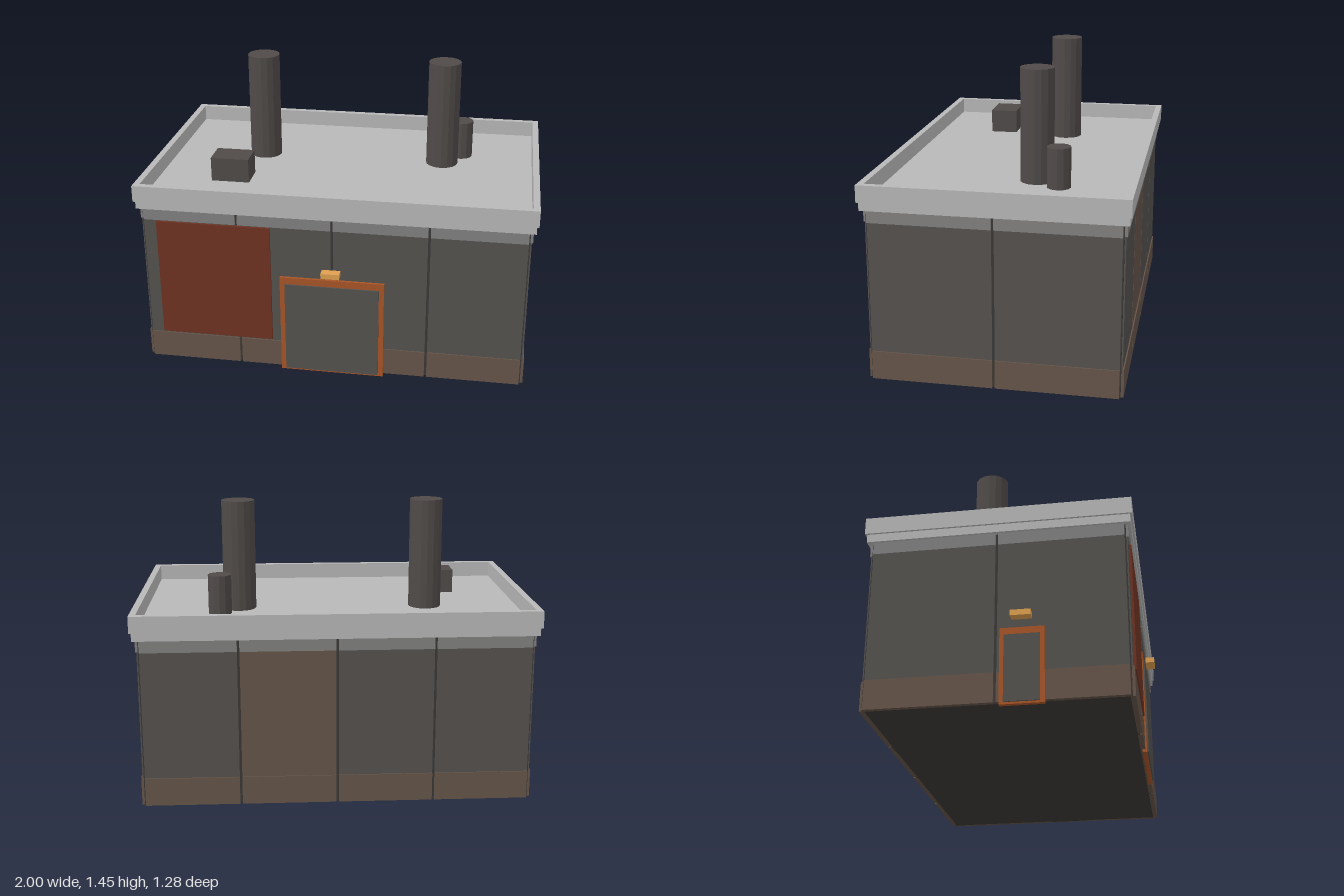
import * as THREE from 'three';

const mat = (color) => new THREE.MeshStandardMaterial({ color, flatShading: true });
const M = {
  wall: mat(0x55524f), joint: mat(0x3a3836), skirt: mat(0x665549), trim: mat(0x828180),
  roof: mat(0xb8b8b8), red: mat(0x6e3323), orange: mat(0xa85526), lamp: mat(0xe0a050), pipe: mat(0x504b49),
};

// Box given by its limits along each axis
function box(name, material, x0, x1, y0, y1, z0, z1) {
  const mesh = new THREE.Mesh(new THREE.BoxGeometry(x1 - x0, y1 - y0, z1 - z0), material);
  mesh.position.set((x0 + x1) / 2, (y0 + y1) / 2, (z0 + z1) / 2);
  mesh.name = name;
  return mesh;
}

// Row of wall panels separated by narrow gaps; local z = 0 is the core face
function wallSide(name, width, count, brownIndex = -1) {
  const g = new THREE.Group();
  g.name = name;
  const pitch = width / count;
  for (let i = 0; i < count; i++) {
    const a = -width / 2 + i * pitch + 0.006, b = a + pitch - 0.012;
    g.add(
      box('skirtPanel', M.skirt, a, b, 0.015, 0.155, -0.01, 0.013),
      box('wallPanel', i === brownIndex ? M.skirt : M.wall, a, b, 0.155, 0.79, -0.01, 0.007),
      box('trimPanel', M.trim, a, b, 0.79, 0.85, -0.01, 0.013),
    );
  }
  return g;
}

// Door slab standing in an orange frame, with a lamp above
function door(x, width, height, border, lampY) {
  const g = new THREE.Group();
  g.name = 'door';
  const h = width / 2;
  g.add(
    box('frameSide', M.orange, -h, -h + border, 0, height, 0, 0.021),
    box('frameSide', M.orange, h - border, h, 0, height, 0, 0.021),
    box('frameTop', M.orange, -h + border, h - border, height - 0.035, height, 0, 0.021),
    box('threshold', M.orange, -h + border, h - border, 0, 0.01, 0, 0.021),
    box('doorSlab', M.wall, -h + border, h - border, 0.01, height - 0.035, 0, 0.028),
    box('doorLamp', M.lamp, -0.046, 0.046, lampY, lampY + 0.027, 0.026, 0.071),
  );
  g.position.x = x;
  return g;
}

function chimney(name, x, z, r, top, sides) {
  const mesh = new THREE.Mesh(new THREE.CylinderGeometry(r, r, top - 0.88, sides), M.pipe);
  mesh.position.set(x, (top + 0.88) / 2, z);
  mesh.name = name;
  return mesh;
}

// Rectangular ring of the roof edge, standing on y0
function parapet(x0, x1, z0, z1, t, y0, y1) {
  const rect = (C, d) => {
    const s = new C();
    s.moveTo(x0 + d, -z1 + d);
    s.lineTo(x1 - d, -z1 + d);
    s.lineTo(x1 - d, -z0 - d);
    s.lineTo(x0 + d, -z0 - d);
    s.closePath();
    return s;
  };
  const shape = rect(THREE.Shape, 0);
  shape.holes.push(rect(THREE.Path, t));
  const geo = new THREE.ExtrudeGeometry(shape, { depth: y1 - y0, bevelEnabled: false });
  geo.rotateX(-Math.PI / 2);
  const mesh = new THREE.Mesh(geo, M.roof);
  mesh.position.y = y0;
  mesh.name = 'parapet';
  return mesh;
}

export function createModel() {
  const model = new THREE.Group();
  model.name = 'building';
  const cx = 0.015, cz = -0.02, hx = 0.945, hz = 0.59;

  // Dark core showing through the panel joints
  model.add(box('core', M.joint, cx - hx, cx + hx, 0.015, 0.855, cz - hz, cz + hz));

  // Four walls, each facing its own local +z
  const front = wallSide('frontWall', hx * 2, 4);
  front.position.set(cx, 0, cz + hz);
  front.add(door(0, 0.52, 0.525, 0.025, 0.56));
  front.add(box('redShutter', M.red, -0.875, -0.305, 0.165, 0.785, 0, 0.018));

  const back = wallSide('backWall', hx * 2, 4, 1);
  back.position.set(cx, 0, cz - hz);
  back.rotation.y = Math.PI;

  const left = wallSide('leftWall', hz * 2, 2);
  left.position.set(cx + hx, 0, cz);
  left.rotation.y = Math.PI / 2;

  const right = wallSide('rightWall', hz * 2, 2);
  right.position.set(cx - hx, 0, cz);
  right.rotation.y = -Math.PI / 2;
  right.add(door(0.12, 0.2, 0.36, 0.02, 0.395));
  model.add(front, back, left, right);

  // Roof deck with a raised edge
  model.add(
    box('roofDeck', M.roof, -0.955, 0.985, 0.85, 0.892, -0.634, 0.594),
    parapet(-0.965, 0.995, -0.643, 0.603, 0.032, 0.89, 0.973),
  );

  // Roof fittings
  model.add(
    chimney('rightChimney', -0.46, -0.14, 0.083, 1.445, 16),
    chimney('leftChimney', 0.49, -0.14, 0.083, 1.445, 16),
    chimney('smallVent', 0.585, -0.26, 0.058, 1.09, 12),
    box('roofUnit', M.pipe, -0.652, -0.458, 0.88, 1.015, 0.147, 0.288),
  );
  return model;
}
